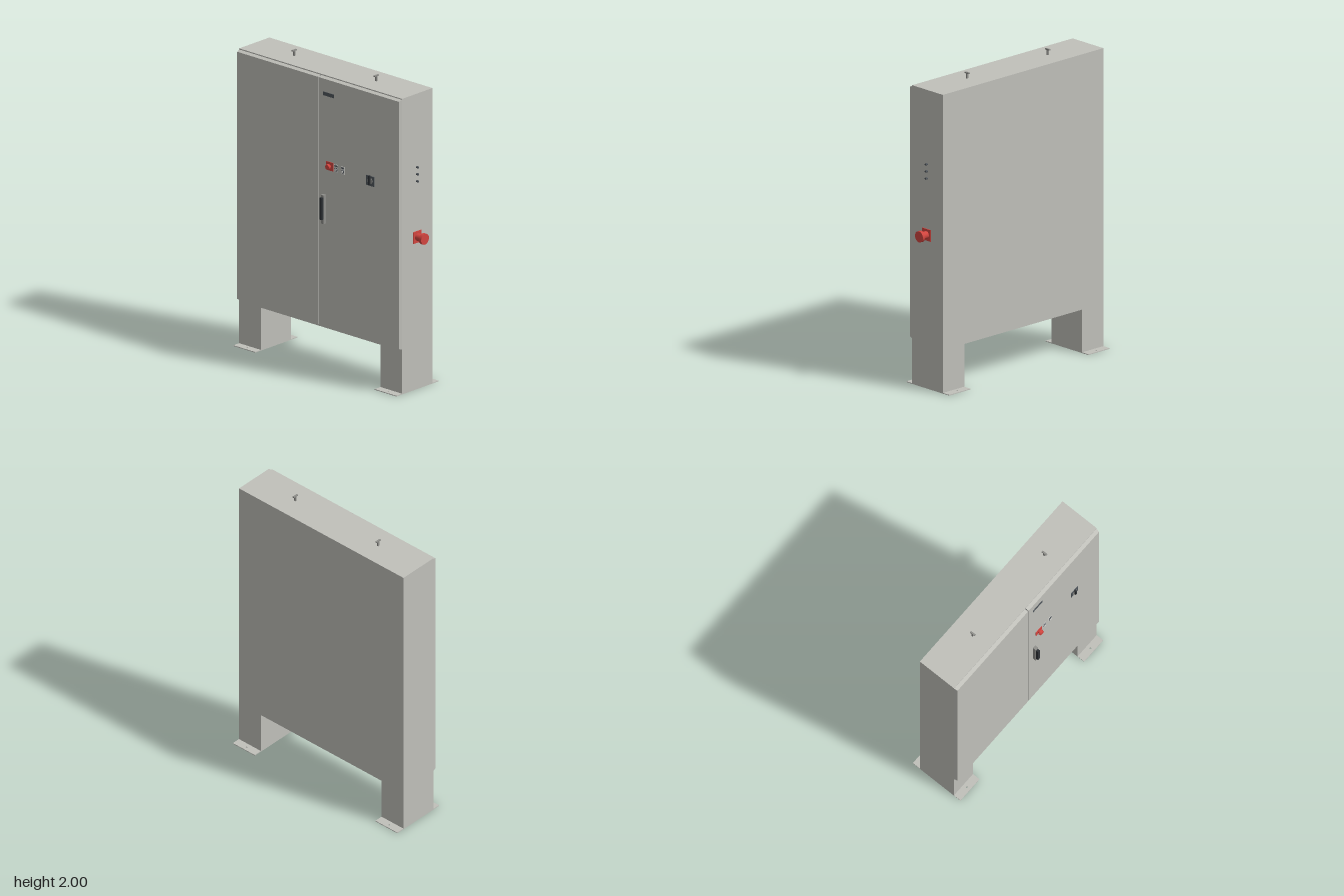
import * as THREE from 'three';

const material = (name, color) => Object.assign(new THREE.MeshStandardMaterial({ color }), { name });

export function createModel() {
  const grey = material('cabinet grey', 0xc0c0ba);
  const red = material('signal red', 0xd2453f);
  const dark = material('dark slate', 0x50565c);
  const black = material('grip black', 0x2e3236);
  const metal = material('metal', 0x8f8f8b);
  const pale = material('pale plate', 0xd4d4d0);

  const model = new THREE.Group();
  model.name = 'controlCabinet';

  const add = (name, geometry, mat, x, y, z, parent = model) => {
    const mesh = new THREE.Mesh(geometry, mat);
    mesh.name = name;
    mesh.position.set(x, y, z);
    parent.add(mesh);
    return mesh;
  };
  // Box given by its limits on each axis
  const box = (name, mat, [x0, x1], [y0, y1], [z0, z1], parent) =>
    add(name, new THREE.BoxGeometry(x1 - x0, y1 - y0, z1 - z0), mat,
      (x0 + x1) / 2, (y0 + y1) / 2, (z0 + z1) / 2, parent);
  // Cylinder along a chosen axis
  const rod = (name, mat, axis, r, length, x, y, z, r2 = r, parent = model) => {
    const g = new THREE.CylinderGeometry(r2, r, length, 28);
    if (axis === 'x') g.rotateZ(-Math.PI / 2);
    if (axis === 'z') g.rotateX(Math.PI / 2);
    return add(name, g, mat, x, y, z, parent);
  };

  const L = -0.73, R = 0.66, back = -0.143, front = 0.135, doorFront = 0.159;

  // Enclosure and its bottom gland plate
  box('enclosure', grey, [L, R], [0.285, 1.96], [back, front]);
  box('bottomPlate', grey, [-0.53, 0.46], [0.28, 0.285], [-0.12, 0.12]);
  rod('drainPlug', metal, 'y', 0.012, 0.03, -0.035, 0.27, 0);

  // Door leaves: boxes whose front face is drawn in to bevel the outer edges
  const door = (name, x0, x1, bevelSide) => {
    const mesh = box(name, grey, [x0, x1], [0.297, 1.953], [front, doorFront]);
    const p = mesh.geometry.attributes.position;
    for (let i = 0; i < p.count; i++) {
      if (p.getZ(i) < 0) continue;
      p.setY(i, p.getY(i) - Math.sign(p.getY(i)) * 0.008);
      if (Math.sign(p.getX(i)) === bevelSide) p.setX(i, p.getX(i) - bevelSide * 0.005);
    }
    mesh.geometry = mesh.geometry.toNonIndexed();
    mesh.geometry.computeVertexNormals();
  };
  door('rightDoor', L + 0.001, -0.037, -1);
  door('leftDoor', -0.032, R - 0.001, 1);
  box('doorGap', black, [-0.037, -0.032], [0.3, 1.95], [front, front + 0.006]);

  // Legs on drilled floor plates
  for (const [side, x0, x1] of [['right', L, -0.545], ['left', 0.475, R]]) {
    box(side + 'Leg', grey, [x0, x1], [0.004, 0.285], [back, front]);
    const cx = (x0 + x1) / 2, w = (x1 - x0) / 2;
    const s = new THREE.Shape([[-w, -0.188], [w, -0.188], [w, 0.2], [-w, 0.2]]
      .map(([x, y]) => new THREE.Vector2(x, y)));
    for (const y of [-0.162, 0.174]) {
      s.holes.push(new THREE.Path().absarc(0, y, 0.006, 0, Math.PI * 2, true));
    }
    const g = new THREE.ExtrudeGeometry(s, { depth: 0.005, bevelEnabled: false });
    g.rotateX(-Math.PI / 2);
    add(side + 'FloorPlate', g, grey, cx, 0, 0);
  }

  // T-shaped lifting lugs
  for (const x of [-0.385, 0.313]) {
    const lug = new THREE.Group();
    lug.name = 'liftingLug';
    model.add(lug);
    box('lugStem', metal, [x - 0.006, x + 0.006], [1.96, 1.994], [-0.005, 0.005], lug);
    box('lugBar', metal, [x - 0.006, x + 0.006], [1.992, 2], [-0.019, 0.019], lug);
  }

  // Door handle: housing, end blocks and dark grip
  const handle = new THREE.Group();
  handle.name = 'doorHandle';
  model.add(handle);
  box('handleHousing', metal, [0.01, 0.034], [0.99, 1.18], [doorFront, 0.182], handle);
  box('handleGrip', black, [0.013, 0.031], [1.02, 1.165], [0.182, 0.198], handle);

  // Name plate
  box('namePlate', dark, [0.01, 0.102], [1.836, 1.86], [doorFront, doorFront + 0.003]);

  // Emergency stop on the door
  box('doorStopPlate', red, [0.038, 0.096], [1.349, 1.405], [doorFront, doorFront + 0.004]);
  rod('doorStopStem', red, 'z', 0.012, 0.014, 0.067, 1.377, 0.167);
  rod('doorStopKnob', red, 'z', 0.019, 0.014, 0.067, 1.377, 0.18, 0.016);

  // Two small push buttons on backing plates
  for (const x of [0.121, 0.176]) {
    box('buttonPlate', pale, [x - 0.014, x + 0.014], [1.35, 1.4], [doorFront, doorFront + 0.002]);
    box('buttonTag', dark, [x - 0.011, x + 0.011], [1.386, 1.395], [doorFront + 0.002, doorFront + 0.003]);
    rod('buttonRing', dark, 'z', 0.012, 0.003, x, 1.368, 0.1625);
    rod('buttonCap', pale, 'z', 0.008, 0.007, x, 1.368, 0.1645);
  }

  // Rotary selector
  box('selectorPlate', dark, [0.38, 0.446], [1.331, 1.396], [doorFront, doorFront + 0.005]);
  rod('selectorDial', metal, 'z', 0.02, 0.003, 0.413, 1.364, 0.1655);
  box('selectorKnob', black, [0.407, 0.419], [1.341, 1.401], [0.164, 0.177]);

  // Side emergency stop
  box('sideStopPlate', red, [R, R + 0.007], [0.973, 1.049], [-0.037, 0.037]);
  rod('sideStopStem', red, 'x', 0.024, 0.045, R + 0.028, 1.011, 0);
  rod('sideStopHead', red, 'x', 0.036, 0.02, 0.72, 1.011, 0);

  // Side indicators
  for (const y of [1.38, 1.427, 1.473]) rod('sideIndicator', dark, 'x', 0.007, 0.014, R + 0.007, y, 0);

  return model;
}
